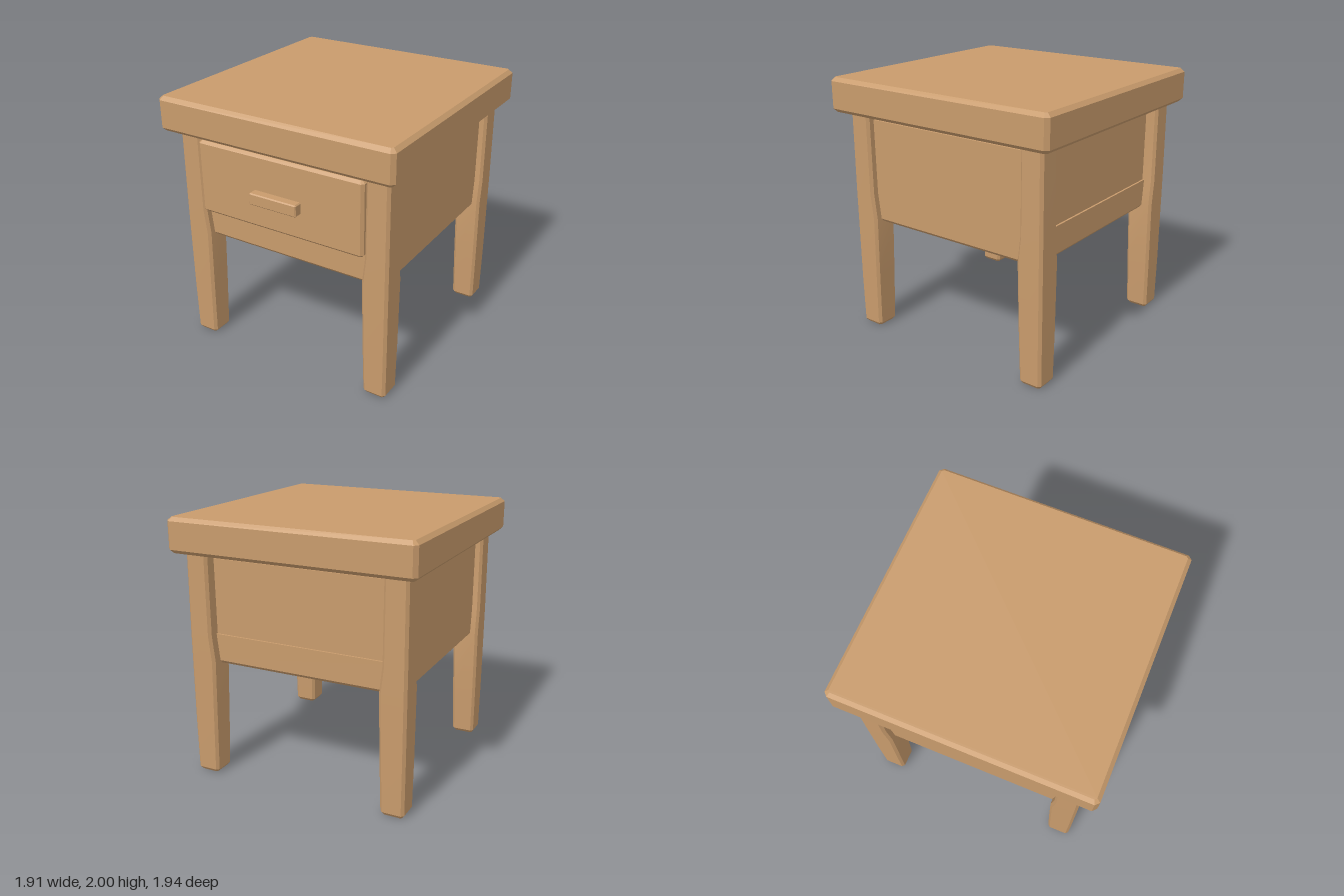
import * as THREE from 'three';
import { toCreasedNormals } from 'three/addons/utils/BufferGeometryUtils.js';

const wood = new THREE.MeshStandardMaterial({ color: 0xc89b6c });
wood.name = 'warm wood';

// Stack of rectangular sections with cut corners: [y, x0, x1, z0, z1, cut]
function loft(sections) {
  const rings = sections.map(([y, x0, x1, z0, z1, c]) => [
    [x0 + c, y, z1], [x1 - c, y, z1], [x1, y, z1 - c], [x1, y, z0 + c],
    [x1 - c, y, z0], [x0 + c, y, z0], [x0, y, z0 + c], [x0, y, z1 - c],
  ]);
  const pos = [];
  const tri = (a, b, c) => pos.push(...a, ...b, ...c);
  for (let r = 0; r < rings.length - 1; r++) {
    const lo = rings[r], hi = rings[r + 1];
    for (let i = 0; i < 8; i++) {
      const j = (i + 1) % 8;
      tri(lo[i], lo[j], hi[j]);
      tri(lo[i], hi[j], hi[i]);
    }
  }
  const first = rings[0], last = rings[rings.length - 1];
  for (let i = 1; i < 7; i++) {
    tri(first[0], first[i + 1], first[i]);
    tri(last[0], last[i], last[i + 1]);
  }
  const geo = new THREE.BufferGeometry();
  geo.setAttribute('position', new THREE.Float32BufferAttribute(pos, 3));
  return toCreasedNormals(geo, 0.5);
}

// Box with every edge chamfered
function chamferBox(x0, x1, y0, y1, z0, z1, c) {
  return loft([
    [y0, x0 + c, x1 - c, z0 + c, z1 - c, c / 2],
    [y0 + c, x0, x1, z0, z1, c],
    [y1 - c, x0, x1, z0, z1, c],
    [y1, x0 + c, x1 - c, z0 + c, z1 - c, c / 2],
  ]);
}

export function createModel() {
  const model = new THREE.Group();
  model.name = 'bedsideTable';
  const add = (name, geo) => {
    const mesh = new THREE.Mesh(geo, wood);
    mesh.name = name;
    model.add(mesh);
  };

  add('tableTop', chamferBox(-0.955, 0.955, 1.738, 2, -0.972, 0.972, 0.028));

  // Legs: straight outside, widest inside at the cabinet's underside
  for (const sx of [-1, 1]) {
    for (const sz of [-1, 1]) {
      const section = (y, inner, outer, cut) => {
        const x = [sx * inner, sx * outer].sort((a, b) => a - b);
        const z = [sz * inner - 0.01, sz * outer - 0.01].sort((a, b) => a - b);
        return [y, ...x, ...z, cut];
      };
      add((sz > 0 ? 'front' : 'back') + (sx > 0 ? 'Left' : 'Right') + 'Leg', loft([
        section(0, 0.705, 0.85, 0.012),
        section(0.025, 0.685, 0.868, 0.02),
        section(0.4, 0.675, 0.871, 0.02),
        section(0.92, 0.664, 0.871, 0.02),
        section(1.12, 0.687, 0.871, 0.02),
        section(1.745, 0.69, 0.868, 0.02),
      ]));
    }
  }

  // Cabinet: upright rails around the base, back panel set in slightly
  add('baseRails', loft([
    [0.892, -0.79, 0.79, -0.78, 0.78, 0.01],
    [0.915, -0.81, 0.81, -0.8, 0.8, 0.01],
    [1.12, -0.81, 0.81, -0.8, 0.8, 0.01],
  ]));
  add('cabinet', loft([
    [1.11, -0.81, 0.81, -0.785, 0.785, 0.01],
    [1.69, -0.81, 0.81, -0.785, 0.785, 0.01],
  ]));

  // Recessed strip between cabinet and top
  add('topSpacer', loft([
    [1.68, -0.76, 0.76, -0.76, 0.76, 0.01],
    [1.745, -0.76, 0.76, -0.76, 0.76, 0.01],
  ]));

  add('drawerFront', chamferBox(-0.688, 0.688, 1.125, 1.69, 0.74, 0.88, 0.02));
  add('drawerHandle', chamferBox(-0.197, 0.197, 1.33, 1.42, 0.86, 0.945, 0.008));

  return model;
}
